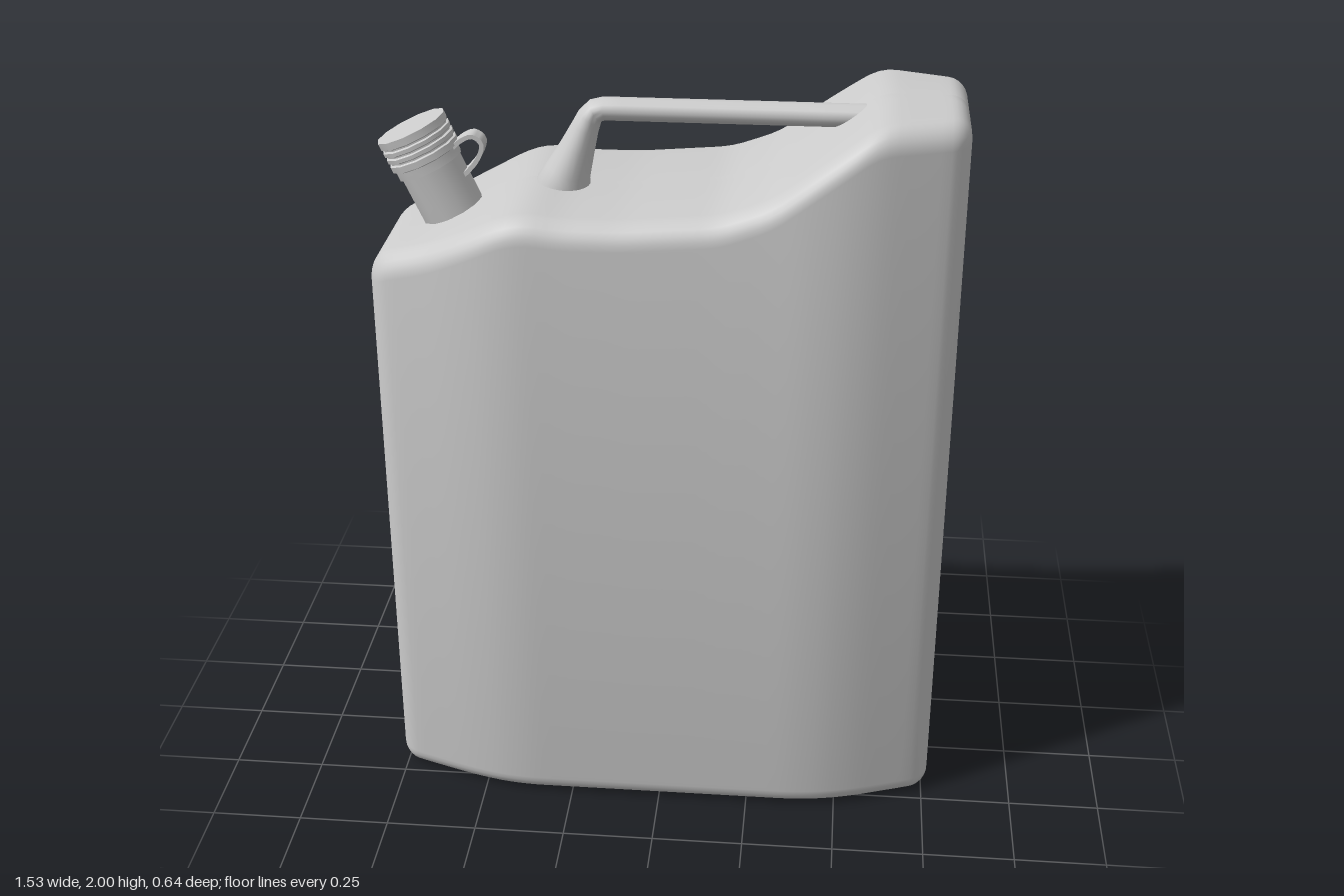
import * as THREE from 'three';
import { toCreasedNormals } from 'three/addons/utils/BufferGeometryUtils.js';

const END = 0.765, ROUND = 0.05, GROOVE = 0.02, DEPTH = 0.014;

// Height of the top and half width of the body, as [x, value]
const TOP = [[-1, 1.49], [-0.72, 1.603], [-0.6, 1.643], [-0.5, 1.69], [-0.4, 1.74], [-0.34, 1.753],
  [-0.25, 1.742], [-0.1, 1.742], [0.15, 1.763], [0.28, 1.81], [0.4, 1.9], [0.54, 2], [1, 2]];
const WIDTH = [[-1, 0.11], [-0.72, 0.225], [-0.52, 0.295], [-0.4, 0.32], [0.4, 0.32], [0.52, 0.3], [0.72, 0.228], [1, 0.12]];

function lookup(table, x) {
  let i = 1;
  while (i < table.length - 1 && table[i][0] < x) i++;
  const [x0, v0] = table[i - 1], [x1, v1] = table[i];
  return v0 + (v1 - v0) * (x - x0) / (x1 - x0);
}

// Averaged lookup, which softens the kinks
function smooth(table, x, reach) {
  let sum = 0;
  for (let k = -4; k <= 4; k++) sum += lookup(table, x + k * reach / 4);
  return sum / 9;
}

// Skin over closed rings of points, with both ends capped
function loft(rings, crease, flip = false) {
  const n = rings[0].length, index = [];
  const tri = (a, b, c) => (flip ? index.push(a, c, b) : index.push(a, b, c));
  for (let i = 0; i < rings.length - 1; i++) {
    for (let j = 0; j < n; j++) {
      const a = i * n + j, b = i * n + (j + 1) % n;
      tri(a, a + n, b + n);
      tri(a, b + n, b);
    }
  }
  const last = (rings.length - 1) * n;
  for (let k = 1; k < n - 1; k++) {
    tri(0, k, k + 1);
    tri(last, last + k + 1, last + k);
  }
  const geometry = new THREE.BufferGeometry().setFromPoints(rings.flat());
  geometry.setIndex(index);
  return toCreasedNormals(geometry.toNonIndexed(), crease);
}

// Sweep an outline along a path in the xy plane; outline(i) gives [across, z] pairs
function sweep(path, outline, crease) {
  const rings = path.map((p, i) => {
    const t = path[Math.min(i + 1, path.length - 1)].clone().sub(path[Math.max(i - 1, 0)]).normalize();
    return outline(i).map(([u, z]) => new THREE.Vector3(p.x - t.y * u, p.y + t.x * u, z));
  });
  return loft(rings, crease);
}

// Stations along the length: rounded at both ends, even in between
function bodyStations() {
  const list = [];
  const add = (x, inset) => list.push({
    x, inset, top: smooth(TOP, x, 0.035) - inset, half: smooth(WIDTH, x, 0.06) - inset,
  });
  const arc = (k) => k / 6 * Math.PI / 2;
  for (let k = 0; k <= 6; k++) add(-END + ROUND * (1 - Math.cos(arc(k))), ROUND * (1 - Math.sin(arc(k))));
  for (let k = 1; k < 56; k++) add((END - ROUND) * (k / 28 - 1), 0);
  for (let k = 6; k >= 0; k--) add(END - ROUND * (1 - Math.cos(arc(k))), ROUND * (1 - Math.sin(arc(k))));
  return list;
}

// One side of the body, from the groove wall outwards
function bodyHalf(stations, side) {
  const rings = stations.map(({ x, inset, top, half }) => {
    const ring = [new THREE.Vector3(x, inset, side * GROOVE)];
    const corner = (y, r, from) => {
      for (let k = 0; k <= 6; k++) {
        const a = from + k / 6 * Math.PI / 2;
        ring.push(new THREE.Vector3(x, y + r * Math.sin(a), side * (half - r + r * Math.cos(a))));
      }
    };
    const low = Math.max(0.05 - inset, 0.008), high = Math.max(0.065 - inset, 0.008);
    corner(inset + low, low, -Math.PI / 2);
    corner(top - high, high, 0);
    ring.push(new THREE.Vector3(x, top, side * GROOVE));
    return ring;
  });
  return loft(rings, 0.7, side < 0);
}

export function createModel() {
  const model = new THREE.Group();
  const material = new THREE.MeshStandardMaterial({ color: 0xcccccc, roughness: 0.7 });
  const add = (name, geometry, parent = model) => {
    const mesh = new THREE.Mesh(geometry, material);
    mesh.name = name;
    parent.add(mesh);
    return mesh;
  };

  // Body halves, with a recessed seam between them along the ends and bottom
  const stations = bodyStations();
  add('bodyFront', bodyHalf(stations, 1));
  add('bodyBack', bodyHalf(stations, -1));
  const inner = END - DEPTH;
  const seam = new THREE.Shape([
    new THREE.Vector2(-inner, 0.028), new THREE.Vector2(inner, 0.028),
    new THREE.Vector2(inner, stations.at(-1).top),
    ...stations.map((s) => new THREE.Vector2(s.x, s.top)).reverse(),
    new THREE.Vector2(-inner, stations[0].top),
  ]);
  const web = new THREE.ExtrudeGeometry(seam, { depth: 2 * GROOVE, bevelEnabled: false });
  add('seam', toCreasedNormals(web.translate(0, 0, -GROOVE), 0.6));

  // Handle: a flared post bending into a level grip, as [x, y, radius across, radius in z]
  const handle = [[-0.28, 1.7, 0.075, 0.078], [-0.272, 1.745, 0.072, 0.074], [-0.262, 1.775, 0.06, 0.069],
    [-0.236, 1.84, 0.046, 0.055], [-0.215, 1.895, 0.036, 0.047], [-0.203, 1.922, 0.033, 0.043],
    [-0.188, 1.939, 0.031, 0.04], [-0.165, 1.945, 0.03, 0.038], [-0.12, 1.945, 0.03, 0.035],
    [0.4, 1.945, 0.03, 0.035], [0.52, 1.945, 0.03, 0.035]];
  add('handle', sweep(handle.map(([x, y]) => new THREE.Vector2(x, y)), (i) =>
    Array.from({ length: 20 }, (_, k) => {
      const a = k / 20 * Math.PI * 2;
      return [handle[i][2] * Math.cos(a), -handle[i][3] * Math.sin(a)];
    }), 0.8));

  // Tilted spout with a ribbed screw cap
  const spout = new THREE.Group();
  spout.name = 'spout';
  spout.position.set(-0.57, 1.655, 0);
  spout.rotation.z = 0.43;
  model.add(spout);
  const lathe = (points) => toCreasedNormals(
    new THREE.LatheGeometry(points.map(([r, y]) => new THREE.Vector2(r, y)), 12).toNonIndexed(), 0.6);
  add('neck', lathe([[0.085, -0.07], [0.085, 0.16]]), spout);
  const cap = [[0.08, 0.136], [0.091, 0.136], [0.091, 0.16], [0.098, 0.163]];
  for (const y of [0.18, 0.2, 0.22]) cap.push([0.098, y], [0.092, y + 0.003], [0.092, y + 0.007], [0.098, y + 0.01]);
  cap.push([0.098, 0.25], [0, 0.25]);
  add('cap', lathe(cap), spout);

  // Strap that ties the cap to the neck
  const strap = new THREE.SplineCurve([[-0.58, 1.815], [-0.545, 1.85], [-0.51, 1.866], [-0.485, 1.845],
    [-0.497, 1.805], [-0.525, 1.77], [-0.555, 1.745]].map(([x, y]) => new THREE.Vector2(x, y)));
  add('capStrap', sweep(strap.getPoints(24), () =>
    [[0.006, 0.025], [0.006, -0.025], [-0.006, -0.025], [-0.006, 0.025]], 0.7));

  return model;
}
